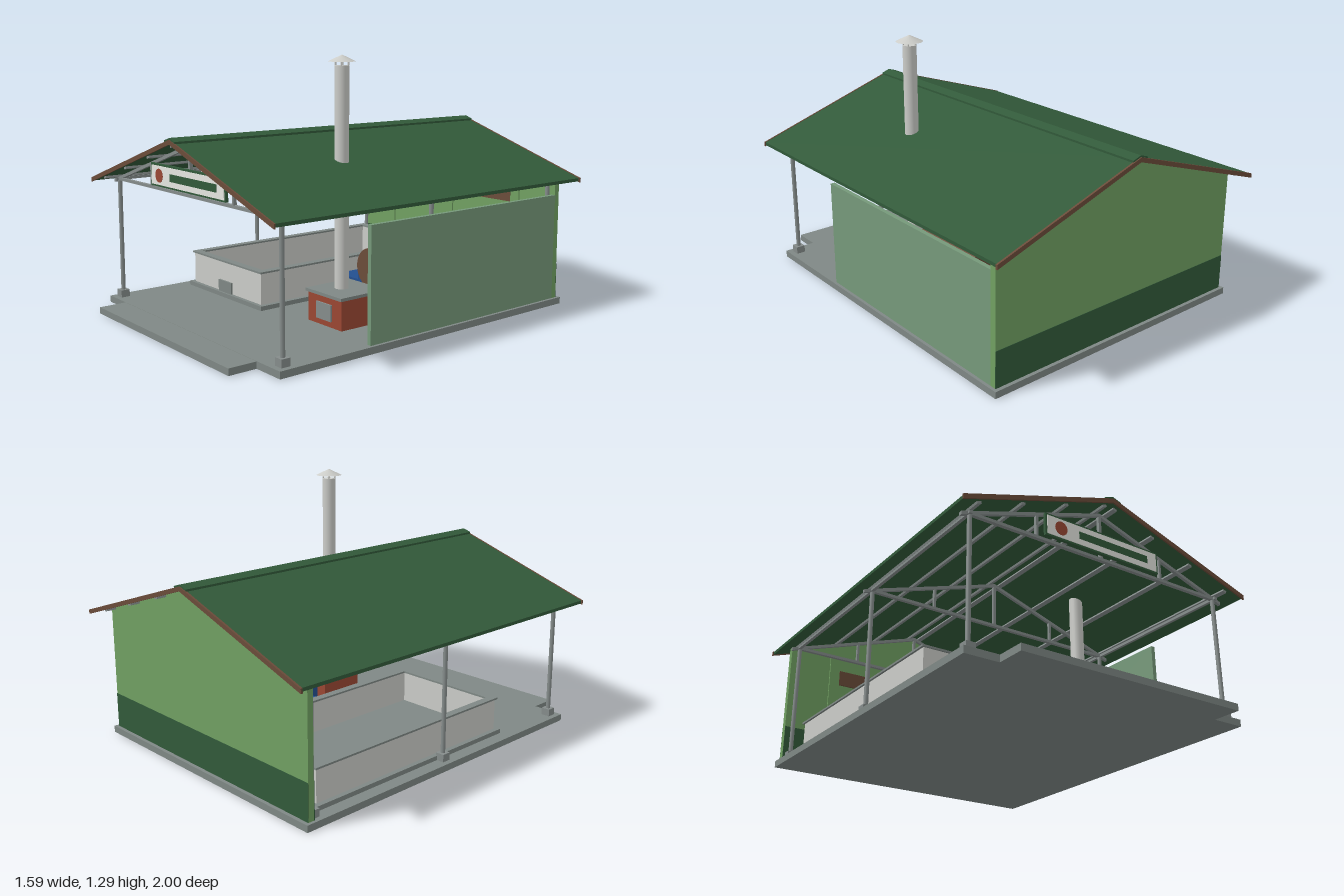
import * as THREE from 'three';

const mat = (name, color, side = THREE.FrontSide) => {
  const m = new THREE.MeshStandardMaterial({ color, side });
  m.name = name;
  return m;
};

export function createModel() {
  const root = new THREE.Group();
  const roofGreen = mat('dark green', 0x325a3a);
  const wallGreen = mat('leaf green', 0x71a062);
  const sideGreen = mat('sage green', 0x76997a);
  const brown = mat('brown', 0x6b4c3a);
  const concrete = mat('concrete grey', 0x7f8885);
  const steel = mat('steel grey', 0x858c8b);
  const metal = mat('pale grey', 0xcbccc8, THREE.DoubleSide);
  const white = mat('sign white', 0xe6e8e2);
  const red = mat('brick red', 0x9a4733);
  const blue = mat('machine blue', 0x234f8f);

  const add = (name, geo, m, x = 0, y = 0, z = 0) => {
    const mesh = new THREE.Mesh(geo, m);
    mesh.name = name;
    mesh.position.set(x, y, z);
    root.add(mesh);
    return mesh;
  };
  // Box given by its limits on each axis
  const box = (name, m, x0, x1, y0, y1, z0, z1) => add(name,
    new THREE.BoxGeometry(x1 - x0, y1 - y0, z1 - z0), m, (x0 + x1) / 2, (y0 + y1) / 2, (z0 + z1) / 2);
  // Outline in x and y, extruded from z0 to z1
  const prism = (name, m, pts, z0, z1) => {
    const shape = new THREE.Shape(pts.map(p => new THREE.Vector2(p[0], p[1])));
    return add(name, new THREE.ExtrudeGeometry(shape, { depth: z1 - z0, bevelEnabled: false }), m, 0, 0, z0);
  };
  const cyl = (name, m, r, y0, y1, x, z, n = 20) =>
    add(name, new THREE.CylinderGeometry(r, r, y1 - y0, n), m, x, (y0 + y1) / 2, z);

  // Floor
  box('floorSlab', concrete, -0.745, 0.745, 0, 0.033, -0.93, 0.86);
  box('frontApron', concrete, -0.58, 0.58, 0, 0.032, 0.86, 1);

  // Roof: chevron bands measured down from the slope line
  const slopeY = x => 0.912 - 0.327 * Math.abs(x);
  const chevron = (w, top, bottom) => [
    [-w, slopeY(w) + bottom], [0, slopeY(0) + bottom], [w, slopeY(w) + bottom],
    [w, slopeY(w) + top], [0, slopeY(0) + top], [-w, slopeY(w) + top]];
  prism('roofPanels', roofGreen, chevron(0.79, 0, -0.016), -0.99, 0.912);
  prism('ridgeCap', roofGreen, chevron(0.045, 0.01, -0.002), -0.995, 0.917);
  prism('frontFascia', brown, chevron(0.795, 0.002, -0.02), 0.912, 0.92);
  prism('backFascia', brown, chevron(0.795, 0.002, -0.02), -1, -0.99);

  // Back gable wall with painted base bands, pilasters and vents
  prism('backWall', wallGreen, [[-0.73, 0.033], [0.73, 0.033], [0.73, slopeY(0.73) - 0.017],
    [0, slopeY(0) - 0.017], [-0.73, slopeY(0.73) - 0.017]], -0.91, -0.88);
  box('outerBaseBand', roofGreen, -0.73, 0.73, 0.033, 0.21, -0.912, -0.91);
  box('innerBaseBand', roofGreen, -0.73, 0.715, 0.033, 0.21, -0.88, -0.876);
  for (const x of [-0.478, -0.003, 0.473])
    box('pilaster', wallGreen, x - 0.028, x + 0.028, 0.033, 0.65, -0.88, -0.872);
  for (const x of [-0.32, 0.315])
    box('wallVent', brown, x - 0.13, x + 0.13, 0.5, 0.58, -0.88, -0.871);

  // Side wall on the left only
  box('sideWall', sideGreen, 0.708, 0.73, 0.033, 0.57, -0.909, 0.36);

  // Posts, trusses, eave beams and purlins
  for (const z of [0.81, -0.035, -0.862]) {
    for (const s of [-1, 1]) {
      const x = s * 0.695;
      cyl('post', steel, 0.011, 0.033, 0.655, x, z, 12);
      box('postFoot', steel, x - 0.023, x + 0.023, 0.033, 0.07, z - 0.023, z + 0.023);
      box('trussStrut', steel, s * 0.355 - 0.006, s * 0.355 + 0.006, 0.65, slopeY(0.355) - 0.03, z - 0.008, z + 0.008);
    }
    box('trussTie', steel, -0.71, 0.71, 0.642, 0.656, z - 0.009, z + 0.009);
    box('kingPost', steel, -0.007, 0.007, 0.65, 0.88, z - 0.008, z + 0.008);
    prism('trussRafters', steel, chevron(0.74, -0.026, -0.042), z - 0.008, z + 0.008);
  }
  for (const s of [-1, 1]) {
    box('eaveBeam', steel, s * 0.7 - 0.008, s * 0.7 + 0.008, 0.642, 0.656, -0.87, 0.83);
    for (const x of [0.03, 0.25, 0.48, 0.7]) {
      const purlin = box('purlin', steel, s * x - 0.011, s * x + 0.011,
        slopeY(x) - 0.027, slopeY(x) - 0.015, -0.96, 0.89);
      purlin.rotation.z = -s * 0.316;
    }
  }

  // Sign board
  box('signFrame', roofGreen, -0.323, 0.323, 0.664, 0.773, 0.82, 0.834);
  box('signFace', white, -0.314, 0.314, 0.673, 0.764, 0.834, 0.837);
  box('signBar', roofGreen, -0.14, 0.258, 0.7, 0.736, 0.837, 0.839);
  const disc = add('signDisc', new THREE.CylinderGeometry(0.033, 0.033, 0.003, 24), red, -0.24, 0.718, 0.838);
  disc.rotation.x = Math.PI / 2;

  // Open basin: four walls on a curb, with a rim
  const ring = (name, m, x0, x1, z0, z1, t, y0, y1) => {
    box(name, m, x0, x1, y0, y1, z1 - t, z1);
    box(name, m, x0, x1, y0, y1, z0, z0 + t);
    box(name, m, x0, x0 + t, y0, y1, z0 + t, z1 - t);
    box(name, m, x1 - t, x1, y0, y1, z0 + t, z1 - t);
  };
  box('basinCurb', concrete, -0.68, -0.015, 0.033, 0.055, -0.82, 0.42);
  ring('basinWall', metal, -0.655, -0.04, -0.8, 0.4, 0.025, 0.055, 0.213);
  ring('basinRim', concrete, -0.665, -0.03, -0.81, 0.408, 0.04, 0.213, 0.222);
  box('basinHatch', concrete, -0.41, -0.295, 0.055, 0.115, 0.4, 0.41);

  // Furnace
  box('furnaceBody', red, 0.245, 0.49, 0.033, 0.175, 0.075, 0.325);
  box('furnaceTop', concrete, 0.235, 0.498, 0.175, 0.19, 0.065, 0.335);
  box('furnaceDoor', steel, 0.312, 0.42, 0.062, 0.142, 0.325, 0.334);

  // Chimney with a rain cap
  cyl('chimneyPipe', metal, 0.034, 0.19, 1.237, 0.345, 0.205, 24);
  for (let i = 0; i < 4; i++) {
    const a = Math.PI / 4 + i * Math.PI / 2;
    cyl('capStay', metal, 0.004, 1.22, 1.262, 0.345 + 0.03 * Math.cos(a), 0.205 + 0.03 * Math.sin(a), 6);
  }
  add('chimneyCap', new THREE.ConeGeometry(0.066, 0.032, 20), metal, 0.345, 1.27, 0.205);

  // Drum and blower behind the furnace
  const drum = add('drum', new THREE.CylinderGeometry(0.1, 0.1, 0.42, 28), brown, 0.365, 0.26, -0.17);
  drum.rotation.x = Math.PI / 2;
  for (const z of [-0.05, -0.3]) box('drumCradle', concrete, 0.3, 0.43, 0.033, 0.19, z - 0.02, z + 0.02);
  box('blowerDuct', blue, -0.04, 0.155, 0.055, 0.14, -0.25, -0.09);
  box('blowerBox', blue, 0.155, 0.27, 0.055, 0.186, -0.28, -0.06);
  return root;
}
